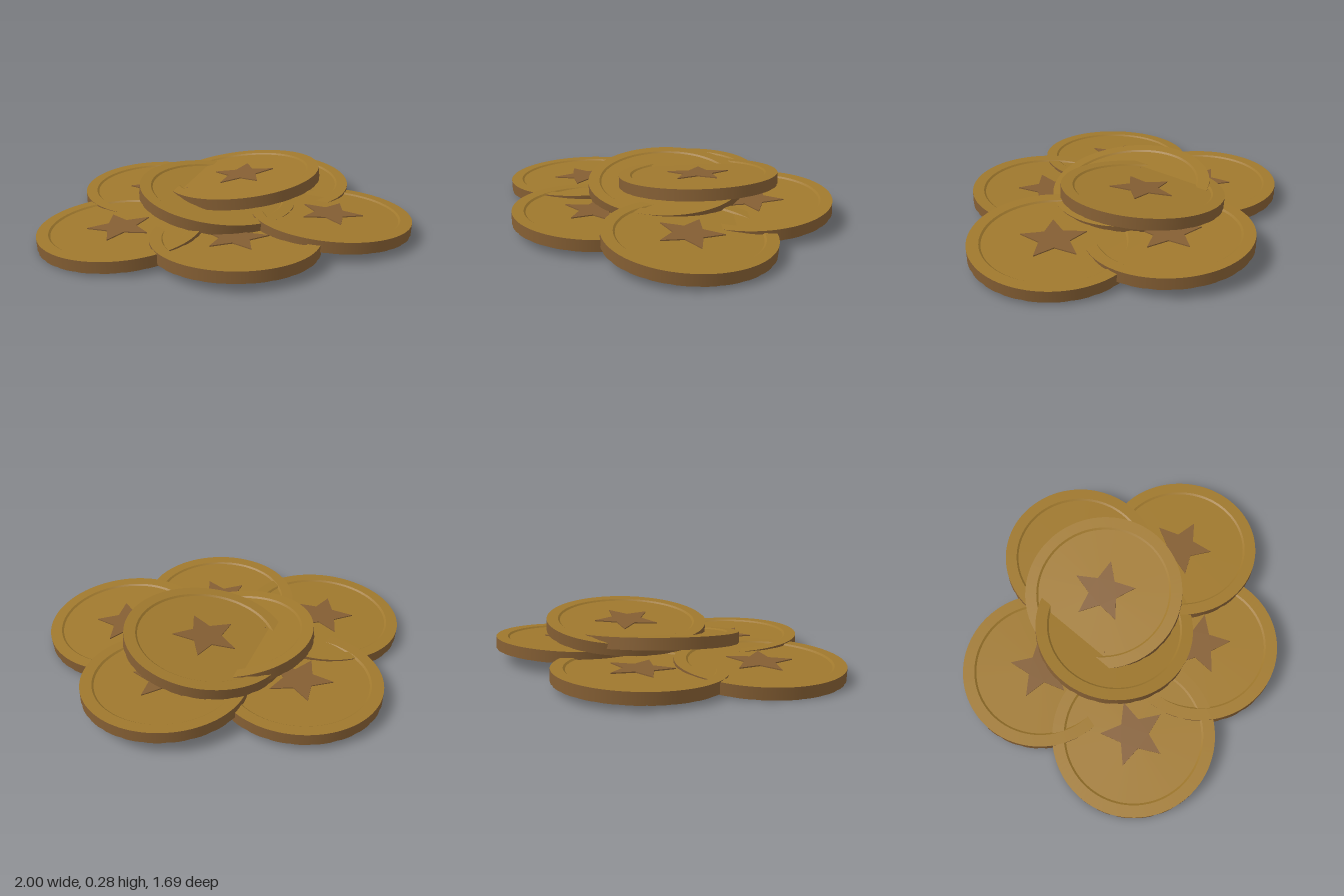
import * as THREE from 'three';
import { toCreasedNormals } from 'three/addons/utils/BufferGeometryUtils.js';

const R = 0.436, THICK = 0.062, RECESS = 0.008;

const gold = new THREE.MeshStandardMaterial({ color: 0x9f782d });
gold.name = 'gold';
const bronze = new THREE.MeshStandardMaterial({ color: 0x845e33 });
bronze.name = 'bronze';

const lathe = (pts) => toCreasedNormals(
  new THREE.LatheGeometry(pts.map(([x, y]) => new THREE.Vector2(x, y)), 96), 0.4);

// Raised rim stepping down to a sunken field (y = 0 is the rim top)
const topGeometry = lathe([[R, 0], [0.374, 0], [0.364, -RECESS], [0, -RECESS]]);
const bottomGeometry = lathe([[0, -THICK], [R, -THICK]]);

// Edge band with small vertical notches
function makeEdge() {
  const g = new THREE.CylinderGeometry(R, R, THICK, 96, 1, true);
  const p = g.attributes.position;
  for (let i = 0; i < p.count; i++) {
    if ((i % 97) % 4 === 2) {
      p.setX(i, p.getX(i) * 0.993);
      p.setZ(i, p.getZ(i) * 0.993);
    }
  }
  g.translate(0, -THICK / 2, 0);
  return g;
}
const edgeGeometry = makeEdge();

// Five-pointed raised star lying on the field
function makeStar() {
  const shape = new THREE.Shape();
  for (let i = 0; i < 10; i++) {
    const a = i * Math.PI / 5, r = i % 2 ? 0.082 : 0.178;
    shape[i ? 'lineTo' : 'moveTo'](r * Math.cos(a), r * Math.sin(a));
  }
  shape.closePath();
  const g = new THREE.ExtrudeGeometry(shape, { depth: 0.006, bevelEnabled: false });
  g.rotateX(-Math.PI / 2);
  g.translate(0, -RECESS, 0);
  return g;
}
const starGeometry = makeStar();

function makeCoin({ name, pos, slope, turn }) {
  const coin = new THREE.Group();
  coin.name = name;
  const add = (part, geometry, material) => {
    const mesh = new THREE.Mesh(geometry, material);
    mesh.name = part;
    coin.add(mesh);
    return mesh;
  };
  add('coinFace', topGeometry, gold);
  add('coinBack', bottomGeometry, gold);
  add('coinEdge', edgeGeometry, bronze);
  add('star', starGeometry, bronze).rotation.y = -THREE.MathUtils.degToRad(turn);
  // Lean the coin so its top rises by the given slopes along x and z
  const up = new THREE.Vector3(-slope[0], 1, -slope[1]).normalize();
  coin.quaternion.setFromUnitVectors(new THREE.Vector3(0, 1, 0), up);
  coin.position.set(...pos);
  return coin;
}

export function createModel() {
  const model = new THREE.Group();
  model.name = 'coinPile';
  // pos: centre of the rim top, slope: rise along x and z, turn: star angle in degrees
  const coins = [
    { name: 'leftBackCoin', pos: [-0.41, 0.085, -0.352], slope: [0, -0.03], turn: 42 },
    { name: 'rightBackCoin', pos: [0.286, 0.11, -0.412], slope: [-0.01, -0.06], turn: 17 },
    { name: 'rightCoin', pos: [0.56, 0.102, 0.1], slope: [-0.05, 0.035], turn: 7 },
    { name: 'frontCoin', pos: [0.04, 0.09, 0.4], slope: [0, 0.045], turn: 64 },
    { name: 'leftCoin', pos: [-0.564, 0.083, 0.25], slope: [0.045, 0], turn: 33 },
    { name: 'middleCoin', pos: [-0.057, 0.17, -0.061], slope: [-0.12, -0.06], turn: 33 },
    { name: 'topCoin', pos: [0.085, 0.23, -0.188], slope: [0.12, 0.02], turn: 64 },
  ];
  coins.forEach((c) => model.add(makeCoin(c)));
  return model;
}
